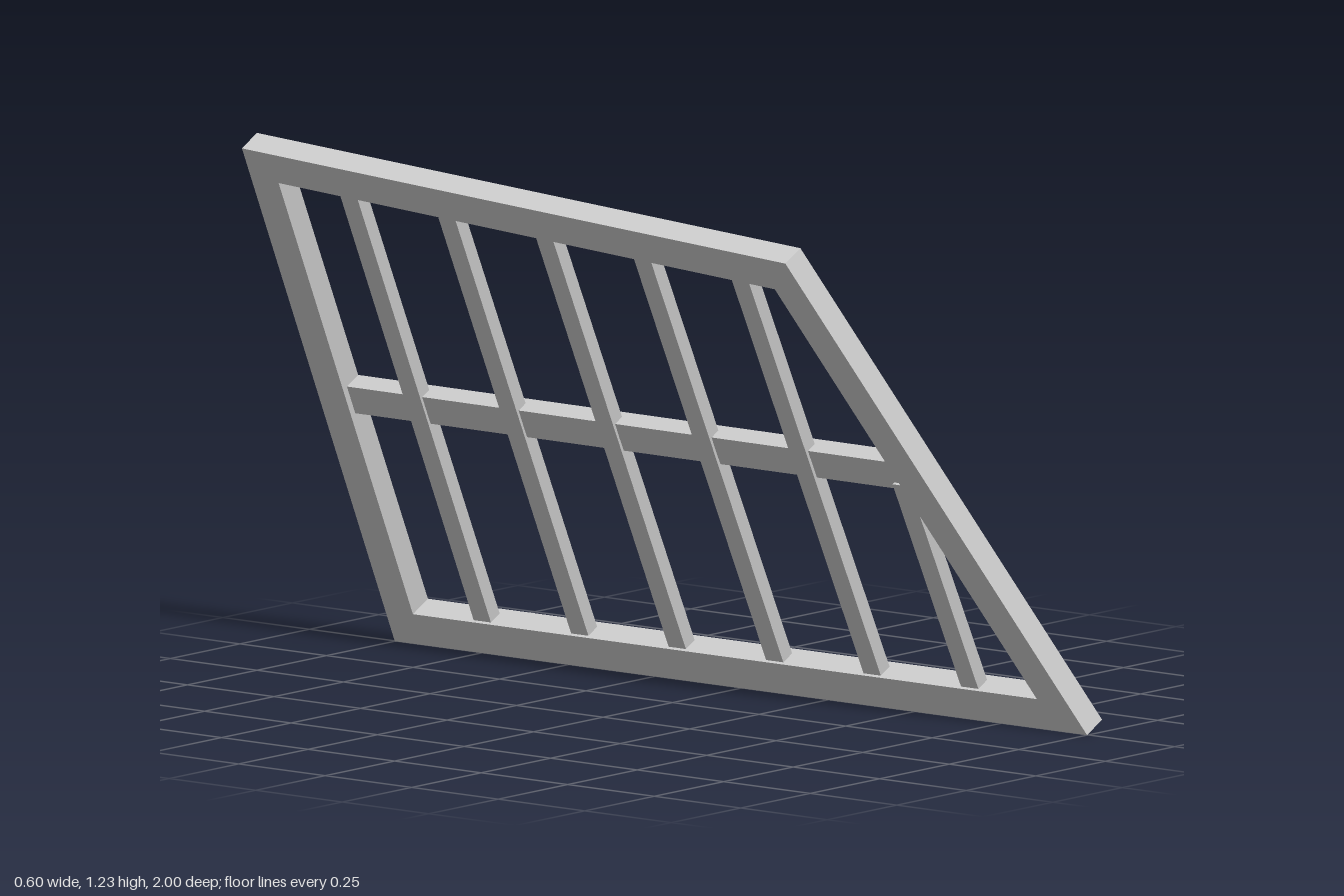
import * as THREE from 'three';

const material = new THREE.MeshStandardMaterial({ color: 0xcccccc, flatShading: true });

// Slightly twisted leaning plane: x of the outer face at a given (z, y)
function outerX(z, y) {
  const top = 1.135 + 0.095 * Math.max(0, (0.57 - z) / 1.57);
  return 0.3 - 0.55 * (y - 0.03) / (top - 0.03);
}

// Point at a depth behind the outer face
function point(z, y, depth) {
  return [outerX(z, y) - 0.9 * depth, y - 0.47 * depth, z];
}

// Four-sided slat: corners [z, y] counter-clockwise as seen from +x
function slat(name, corners, depth0, depth1) {
  const a = corners.map(([z, y]) => point(z, y, depth0));
  const b = corners.map(([z, y]) => point(z, y, depth1));
  const positions = [];
  const quad = (p, q, r, s) => positions.push(...p, ...q, ...r, ...p, ...r, ...s);
  quad(a[0], a[1], a[2], a[3]);
  quad(b[3], b[2], b[1], b[0]);
  for (let i = 0; i < 4; i++) {
    const j = (i + 1) % 4;
    quad(a[i], b[i], b[j], a[j]);
  }
  const geometry = new THREE.BufferGeometry();
  geometry.setAttribute('position', new THREE.Float32BufferAttribute(positions, 3));
  geometry.computeVertexNormals();
  const mesh = new THREE.Mesh(geometry, material);
  mesh.name = name;
  return mesh;
}

export function createModel() {
  const model = new THREE.Group();
  model.name = 'leaningLattice';

  // Mitred outer frame
  const outer = [[1, 0.03], [-1, 0.03], [-1, 1.23], [0.57, 1.135]];
  const inner = [[0.885, 0.105], [-0.92, 0.105], [-0.92, 1.155], [0.51, 1.065]];
  const frame = new THREE.Group();
  frame.name = 'frame';
  ['bottomRail', 'backStile', 'topRail', 'slantedStile'].forEach((name, i) => {
    const j = (i + 1) % 4;
    frame.add(slat(name, [outer[i], outer[j], inner[j], inner[i]], 0, 0.06));
  });
  model.add(frame);

  // Middle rail, ending on the slanted stile
  model.add(slat('middleRail', [[0.697, 0.585], [-0.92, 0.585], [-0.92, 0.65], [0.672, 0.65]], 0, 0.045));

  // Evenly spaced bars set back from the outer face; the first is short
  const bars = new THREE.Group();
  bars.name = 'bars';
  for (let i = 0; i < 6; i++) {
    const z = 0.685 - 0.282 * i;
    const top = i === 0 ? 0.6 : 1.08 + 0.063 * (0.51 - z);
    bars.add(slat('bar', [[z + 0.025, 0.09], [z - 0.025, 0.09], [z - 0.025, top], [z + 0.025, top]], 0.017, 0.052));
  }
  model.add(bars);

  return model;
}
